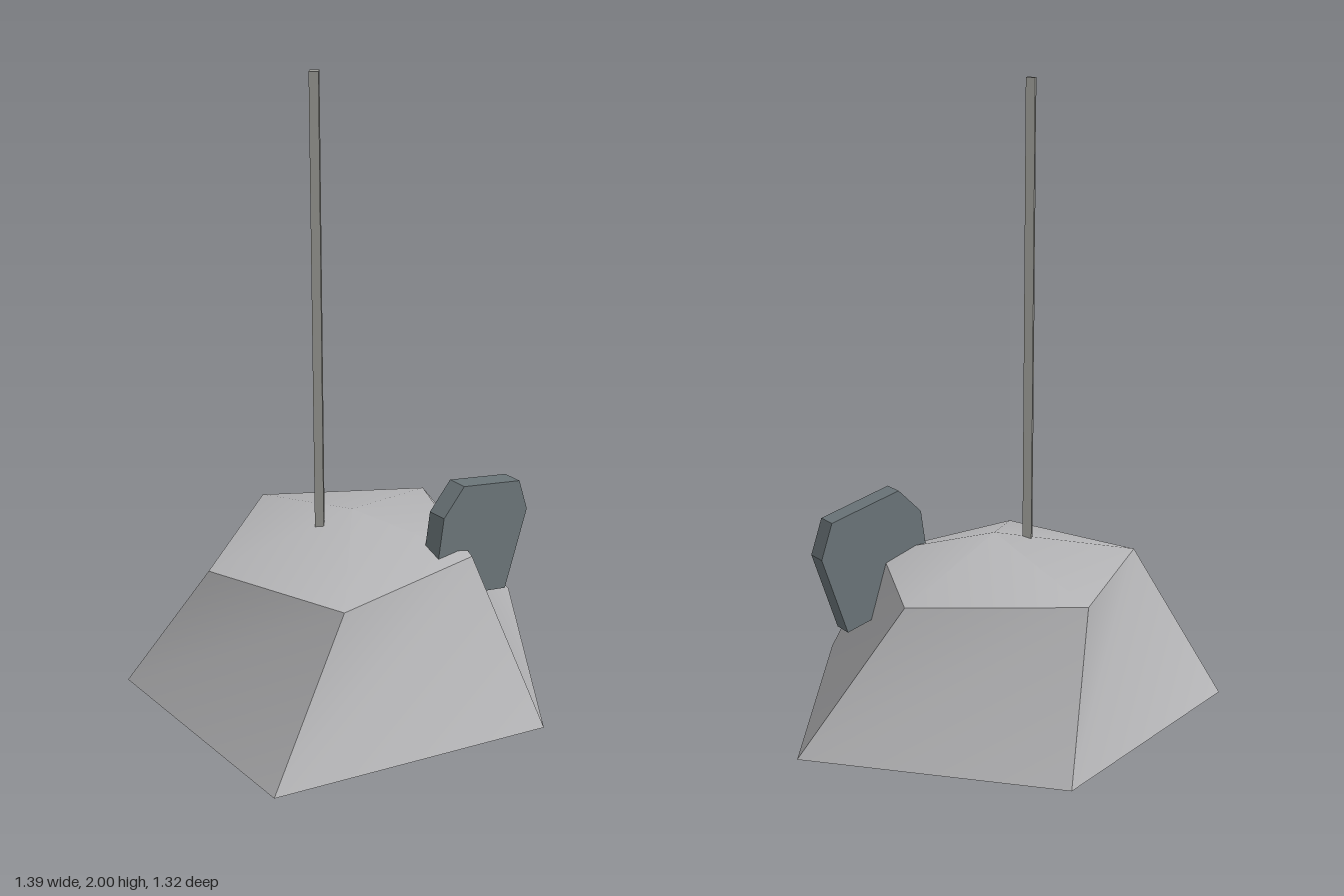
import * as THREE from 'three';
import { toCreasedNormals } from 'three/addons/utils/BufferGeometryUtils.js';

export function createModel() {
  const group = new THREE.Group();
  const rock = new THREE.MeshStandardMaterial({ name: 'pale stone', color: 0xb4b4b6, side: THREE.DoubleSide });
  const slate = new THREE.MeshStandardMaterial({ name: 'dark slate', color: 0x6a7478 });
  const metal = new THREE.MeshStandardMaterial({ name: 'grey pole', color: 0x9a9a95 });

  const add = (name, geometry, material) => {
    const mesh = new THREE.Mesh(geometry, material);
    mesh.name = name;
    group.add(mesh);
    return mesh;
  };

  // Irregular five-sided boulder, open underneath, with a low peaked top
  const foot = [[-0.7, 0.39], [0.16, 0.66], [0.69, -0.02], [0.14, -0.66], [-0.68, -0.42]];
  const rim = [[-0.36, 0.31], [0.17, 0.31], [0.38, -0.15], [-0.07, -0.47], [-0.52, -0.16]];
  const peak = [-0.05, 0.575, -0.02];
  const at = ([x, z], y) => [x, y, z];
  const points = [];
  for (let i = 0; i < 5; i++) {
    const j = (i + 1) % 5;
    const a = at(foot[i], 0), b = at(foot[j], 0);
    const c = at(rim[j], 0.46), d = at(rim[i], 0.46);
    points.push(...a, ...b, ...c, ...a, ...c, ...d, ...d, ...c, ...peak);
  }
  const boulder = new THREE.BufferGeometry();
  boulder.setAttribute('position', new THREE.Float32BufferAttribute(points, 3));
  add('boulder', toCreasedNormals(boulder, 0.6), rock);

  // Flat chipped slab, partly sunk in the boulder
  const outline = [[0.05, 0.41], [0.11, 0.32], [0.365, 0.255], [0.455, 0.52],
    [0.415, 0.635], [0.165, 0.695], [0.08, 0.61]];
  const shape = new THREE.Shape(outline.map(([x, y]) => new THREE.Vector2(x, y)));
  const slab = new THREE.ExtrudeGeometry(shape, { depth: 0.065, bevelEnabled: false });
  add('slab', slab, slate).position.z = 0.207;

  // Thin four-sided pole standing on the top
  const pole = toCreasedNormals(new THREE.CylinderGeometry(0.02, 0.02, 1.48, 4), 0.5);
  add('pole', pole, metal).position.set(-0.16, 1.26, -0.05);

  return group;
}
